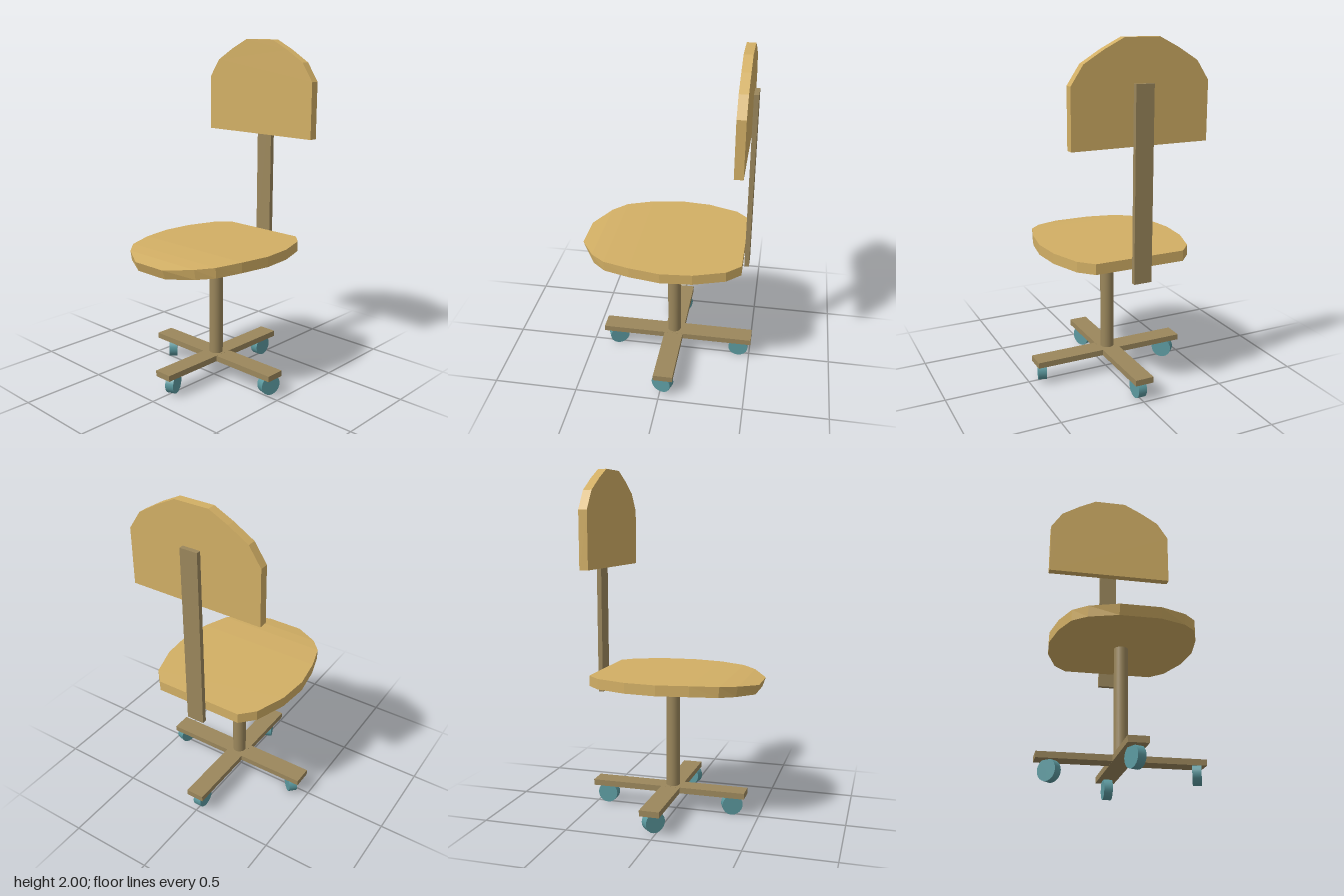
import * as THREE from 'three';

const tan = new THREE.MeshStandardMaterial({ color: 0xd2af65, flatShading: true });
const brown = new THREE.MeshStandardMaterial({ color: 0x9b875c });
const teal = new THREE.MeshStandardMaterial({ color: 0x5c9aa0 });

// Seat lofted front to back from four-cornered sections
function seatGeometry() {
  // x, half width, top height, bottom height, bottom shift in x
  const sections = [
    [-0.51, 0.11, 0.81, 0.755, 0.02],
    [-0.42, 0.26, 0.826, 0.768, 0.01],
    [-0.335, 0.335, 0.834, 0.774, 0.005],
    [-0.18, 0.385, 0.84, 0.78, 0],
    [0, 0.415, 0.84, 0.78, 0],
    [0.18, 0.4, 0.84, 0.78, 0],
    [0.36, 0.34, 0.84, 0.78, 0],
    [0.44, 0.265, 0.84, 0.78, 0],
  ];
  const positions = [];
  const index = [];
  sections.forEach(([x, w, top, bottom, shift], i) => {
    positions.push(x, top, w, x, top, -w, x + shift, bottom, -w, x + shift, bottom, w);
    if (i === sections.length - 1) return;
    for (let k = 0; k < 4; k++) {
      const a = i * 4 + k, b = i * 4 + (k + 1) % 4;
      index.push(a, a + 4, b, b, a + 4, b + 4);
    }
  });
  const e = (sections.length - 1) * 4;
  index.push(0, 1, 2, 0, 2, 3, e, e + 2, e + 1, e, e + 3, e + 2);
  const geometry = new THREE.BufferGeometry();
  geometry.setAttribute('position', new THREE.Float32BufferAttribute(positions, 3));
  geometry.setIndex(index);
  geometry.computeVertexNormals();
  return geometry;
}

// Backrest panel: flat bottom, faceted arch on top
function backrestGeometry() {
  const half = [[0.395, 1.445], [0.395, 1.77], [0.325, 1.875], [0.21, 1.945], [0.1, 2]];
  const mirrored = half.map(([z, y]) => [-z, y]).reverse();
  const shape = new THREE.Shape([...half, ...mirrored].map(([z, y]) => new THREE.Vector2(z, y)));
  return new THREE.ExtrudeGeometry(shape, { depth: 0.05, bevelEnabled: false })
    .rotateY(Math.PI / 2).translate(0.382, 0, 0);
}

export function createModel() {
  const group = new THREE.Group();
  const add = (name, geometry, material, x = 0, y = 0, z = 0) => {
    const mesh = new THREE.Mesh(geometry, material);
    mesh.name = name;
    mesh.position.set(x, y, z);
    group.add(mesh);
    return mesh;
  };

  add('seat', seatGeometry(), tan);
  add('backrest', backrestGeometry(), tan);
  add('backSupport', new THREE.BoxGeometry(0.027, 1.07, 0.105), brown, 0.456, 1.235, 0);
  add('column', new THREE.CylinderGeometry(0.04, 0.04, 0.64, 24), brown, 0.02, 0.465, 0);

  // Crossed base arms
  add('sideArms', new THREE.BoxGeometry(0.93, 0.035, 0.11), brown, 0.043, 0.132, 0);
  add('lengthArms', new THREE.BoxGeometry(0.115, 0.034, 0.93), brown, 0.022, 0.132, 0);

  // Casters, each swivelled by its own angle
  const wheel = new THREE.CylinderGeometry(0.06, 0.06, 0.05, 24).rotateX(Math.PI / 2);
  const casters = [
    [0.43, 0.064, 0, 0],
    [-0.34, 0.064, 0, 0.4],
    [0.015, 0.076, 0.422, -0.3],
    [0.022, 0.062, -0.385, 0.8],
  ];
  for (const [x, y, z, turn] of casters) add('caster', wheel, teal, x, y, z).rotation.y = turn;

  return group;
}
